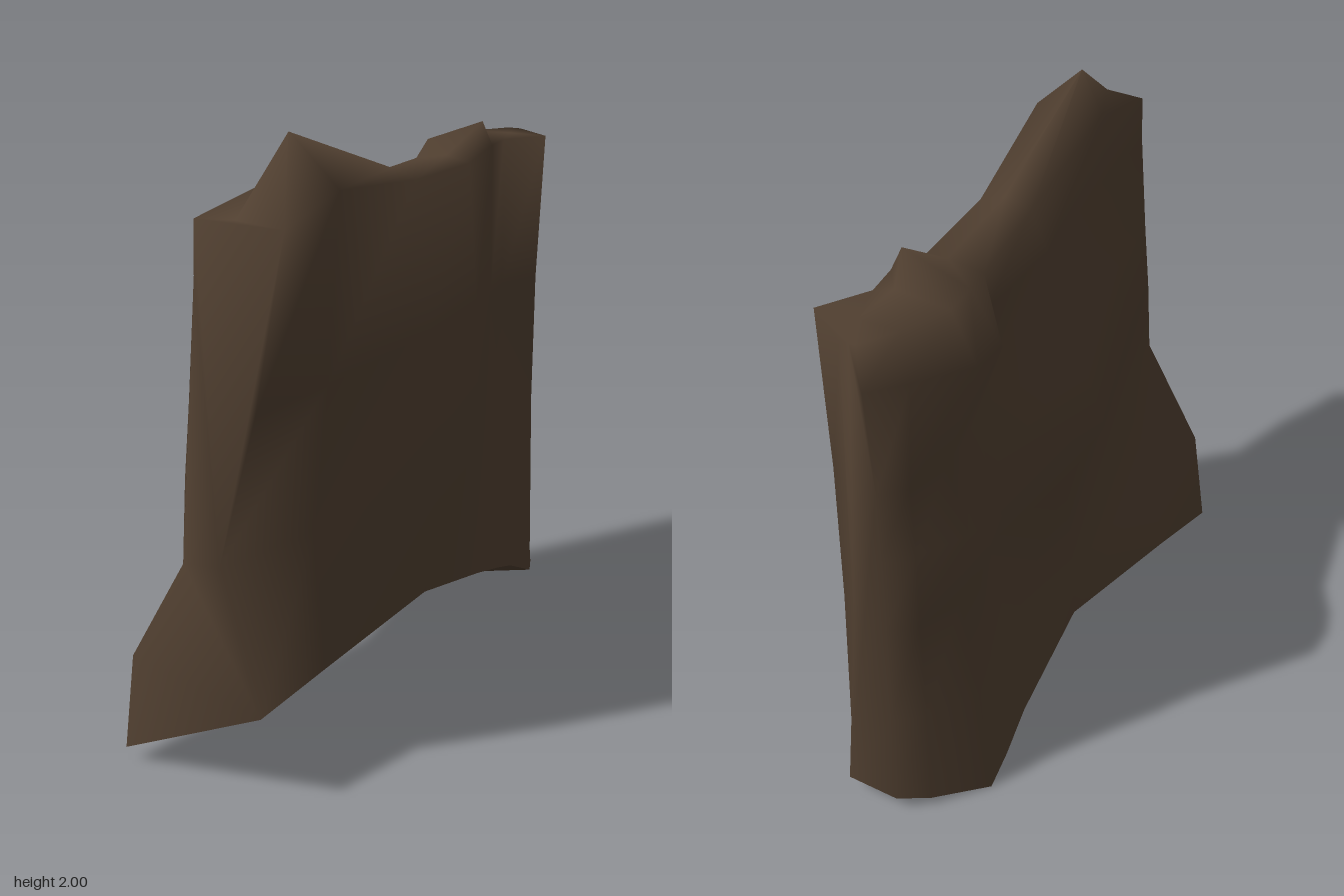
import * as THREE from 'three';
import { toCreasedNormals } from 'three/addons/utils/BufferGeometryUtils.js';

// Heights shared by the inner rows of every cross-section
const LEFT_ROWS = [0.4, 0.77, 1.04, 1.28, 1.64];
const RIGHT_ROWS = [1.27, 0.79];

// Cross-sections from front to back.
// left / right: x from bottom to top / top to bottom; yl, yr: bottom heights;
// ridge: x and y of the crest; rim: height of the two upper edges.
const SECTIONS = [
  { z: 0.97, left: [-0.33, -0.27, -0.045, -0.03, -0.01, 0.015, 0.02], yl: 0.05, ridge: [0.16, 1.81], rim: 1.8, right: [0.32, 0.22, 0.09, 0.21], yr: 0.32 },
  { z: 0.64, left: [-0.28, -0.23, -0.09, -0.12, -0.05, 0, 0.03], yl: 0.1, ridge: [0.11, 2], rim: 1.85, right: [0.28, 0.235, 0.18, 0.21], yr: 0.325 },
  { z: 0, left: [-0.2, -0.19, -0.16, -0.295, -0.21, -0.08, -0.02], yl: 0.2, ridge: [0.07, 1.8], rim: 1.77, right: [0.16, 0.22, 0.26, 0.21], yr: 0.33 },
  { z: -0.42, left: [-0.21, -0.15, -0.08, -0.08, -0.03, -0.09, -0.08], yl: 0.08, ridge: [0.04, 1.78], rim: 1.76, right: [0.13, 0.17, 0.19, 0.2], yr: 0.23 },
  { z: -0.59, left: [-0.23, -0.18, -0.14, -0.22, -0.1, -0.23, -0.13], yl: 0.03, ridge: [0.09, 1.88], rim: 1.8, right: [0.13, 0.14, 0.15, 0.2], yr: 0.185 },
  { z: -0.72, left: [-0.24, -0.2, -0.14, -0.18, -0.11, -0.22, -0.14], yl: 0, ridge: [0.04, 1.82], rim: 1.8, right: [0.11, 0.12, 0.13, 0.19], yr: 0.14 },
  { z: -0.88, left: [-0.1, -0.1, -0.09, -0.09, -0.08, -0.1, -0.08], yl: 0.03, ridge: [0.06, 1.8], rim: 1.8, right: [0.2, 0.18, 0.18, 0.2], yr: 0.06 },
];

// The back end narrows to a thin face of nearly constant width
const BACK_END = { z: -0.95, left: Array(7).fill(-0.01), yl: 0.05, ridge: [0.01, 1.8], rim: 1.8, right: [0.04, 0.09, 0.1, 0.17], yr: 0.065 };

// The front end swells at mid height; the back end leans outwards at the top
function bend(z, y) {
  if (z > 0.9) return z + 0.03 * Math.max(0, 1 - Math.abs(y - 0.8) / 0.9);
  if (z < -0.9 && y > 1.28) return z - 0.05 * (y - 1.28) / 0.52;
  return z;
}

// One closed loop: up the left side, over the ridge, down the right side
function loop({ z, left, yl, ridge, rim, right, yr }) {
  const leftY = [yl, ...LEFT_ROWS, rim];
  const rightY = [rim, ...RIGHT_ROWS, yr];
  const points = [
    ...left.map((x, i) => [x, leftY[i]]),
    ridge,
    ...right.map((x, i) => [x, rightY[i]]),
  ];
  return points.map(([x, y]) => new THREE.Vector3(x, y, bend(z, y)));
}

// Triangles to a geometry, smooth up to the given crease angle
function surface(triangles, crease) {
  const geometry = new THREE.BufferGeometry().setFromPoints(triangles.flat());
  return toCreasedNormals(geometry, crease);
}

// Strips joining point j to point k of neighbouring loops
function strip(loops, j, k) {
  const triangles = [];
  for (let i = 0; i < loops.length - 1; i++) {
    const [a, b, c, d] = [loops[i][j], loops[i][k], loops[i + 1][j], loops[i + 1][k]];
    triangles.push([a, b, c], [b, d, c]);
  }
  return triangles;
}

// Flat fill of an end loop, facing front or back
function endFace(ring, front) {
  const outline = ring.map((p) => new THREE.Vector2(p.x, p.y));
  return THREE.ShapeUtils.triangulateShape(outline, []).map(([a, b, c]) => {
    const ccw = THREE.ShapeUtils.area([outline[a], outline[b], outline[c]]) > 0;
    return ccw === front ? [ring[a], ring[b], ring[c]] : [ring[a], ring[c], ring[b]];
  });
}

export function createModel() {
  const group = new THREE.Group();
  group.name = 'rockWall';

  const darkBrown = new THREE.MeshStandardMaterial({ color: 0x503f30 });
  darkBrown.name = 'dark brown rock';

  const loops = [...SECTIONS, BACK_END].map(loop);
  const last = loops[0].length - 1;

  // Rounded shell: both sides, crest and ends
  const shell = [...endFace(loops[0], true), ...endFace(loops[loops.length - 1], false)];
  for (let j = 0; j < last; j++) shell.push(...strip(loops, j, j + 1));
  const slab = new THREE.Mesh(surface(shell, 1.8), darkBrown);
  slab.name = 'rockSlab';

  // Sharp-edged sloping underside
  const underside = new THREE.Mesh(surface(strip(loops, last, 0), 0.6), darkBrown);
  underside.name = 'underside';

  group.add(slab, underside);
  return group;
}
